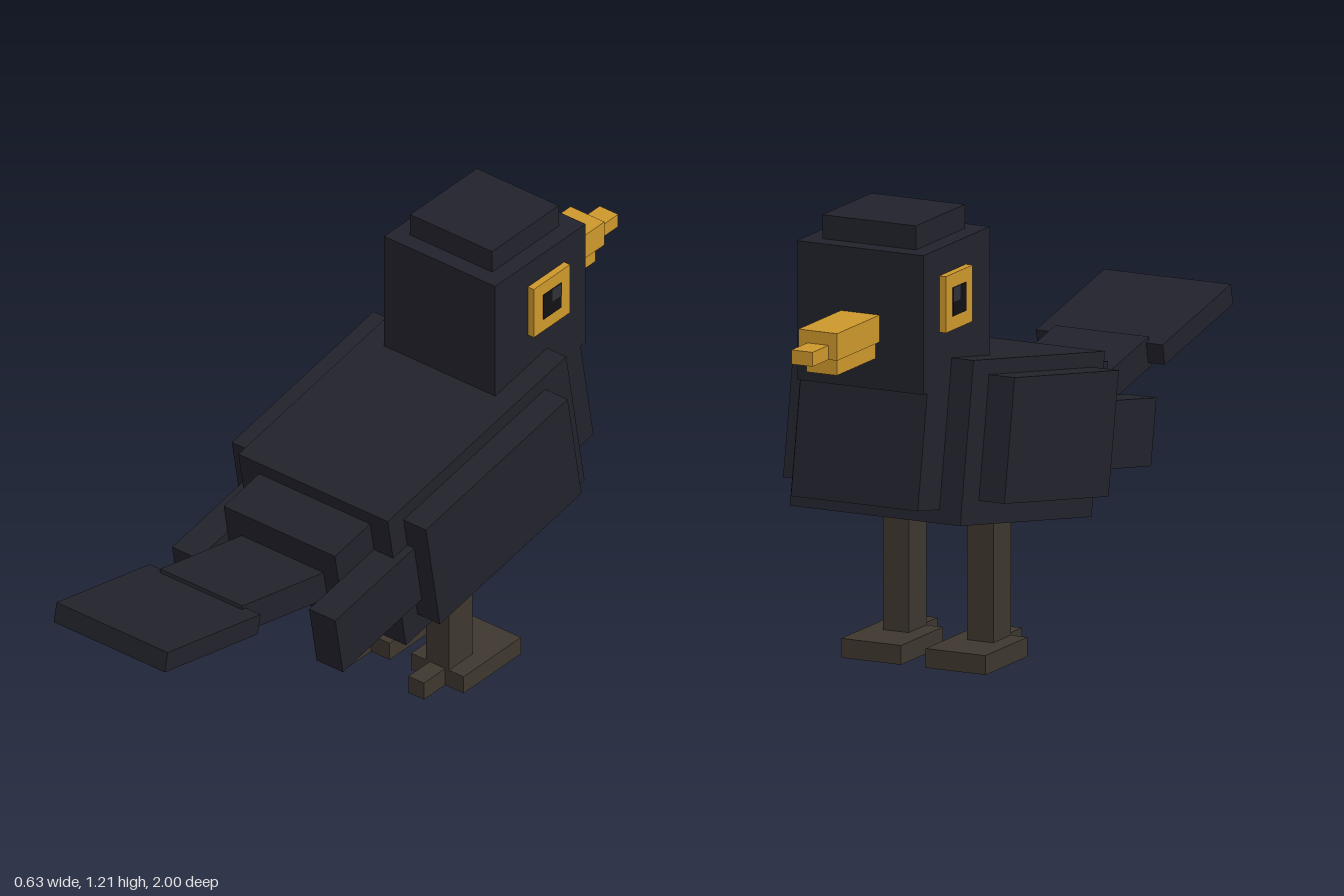
import * as THREE from 'three';

export function createModel() {
  const bird = new THREE.Group();
  bird.name = 'bird';

  const mat = (name, color) => {
    const m = new THREE.MeshStandardMaterial({ color });
    m.name = name;
    return m;
  };
  const plumage = mat('plumage', 0x22222c);
  const amber = mat('amber', 0xce982c);
  const legBrown = mat('legBrown', 0x3e372f);
  const pupilBlack = mat('pupilBlack', 0x111115);
  const glintGrey = mat('glintGrey', 0x30303a);

  // Box from size and centre, pitched about x in degrees
  const box = (name, material, size, centre, pitch = 0) => {
    const mesh = new THREE.Mesh(new THREE.BoxGeometry(...size), material);
    mesh.name = name;
    mesh.position.set(...centre);
    mesh.rotation.x = THREE.MathUtils.degToRad(pitch);
    bird.add(mesh);
    return mesh;
  };
  // Upright box from its lower and upper corners
  const span = (name, material, a, b) =>
    box(name, material, b.map((v, i) => v - a[i]), b.map((v, i) => (v + a[i]) / 2));

  const lean = 10;   // body rises towards the head (-z)
  const lift = -12;  // tail rises towards the back (+z)

  // Body
  box('body', plumage, [0.484, 0.42, 0.726], [0, 0.577, -0.209], lean);
  box('chest', plumage, [0.36, 0.32, 0.3], [0, 0.62, -0.54], lean);
  box('rump', plumage, [0.36, 0.22, 0.3], [0, 0.577, 0.153], lean);

  // Tail
  box('tailBase', plumage, [0.266, 0.08, 0.42], [0, 0.57, 0.435], lift);
  box('tailFan', plumage, [0.36, 0.055, 0.38], [0, 0.652, 0.809], lift);

  // Head
  span('head', plumage, [-0.18, 0.783, -0.684], [0.18, 1.143, -0.322]);
  span('crown', plumage, [-0.133, 1.143, -0.635], [0.133, 1.205, -0.368]);

  // Beak
  span('upperBeak', amber, [-0.055, 0.906, -0.914], [0.055, 0.976, -0.684]);
  span('beakTip', amber, [-0.03, 0.906, -1], [0.03, 0.943, -0.914]);
  span('lowerBeak', amber, [-0.043, 0.862, -0.893], [0.043, 0.906, -0.684]);

  // Paired parts
  for (const [side, s] of [['left', 1], ['right', -1]]) {
    const pair = (name, material, a, b) => span(side + name, material,
      [Math.min(s * a[0], s * b[0]), a[1], a[2]],
      [Math.max(s * a[0], s * b[0]), b[1], b[2]]);

    box(side + 'Wing', plumage, [0.075, 0.32, 0.576], [s * 0.277, 0.585, -0.19], lean);
    box(side + 'WingTip', plumage, [0.085, 0.174, 0.35], [s * 0.222, 0.498, 0.235], lean);

    pair('Eye', amber, [0.18, 0.927, -0.598], [0.199, 1.073, -0.453]);
    pair('Pupil', pupilBlack, [0.199, 0.963, -0.562], [0.201, 1.037, -0.49]);
    pair('EyeGlint', glintGrey, [0.201, 1.0, -0.562], [0.202, 1.037, -0.525]);

    pair('Leg', legBrown, [0.083, 0.05, -0.26], [0.157, 0.42, -0.165]);
    pair('Foot', legBrown, [0.035, 0, -0.394], [0.205, 0.05, -0.165]);
    pair('BackToe', legBrown, [0.095, 0, -0.165], [0.145, 0.05, -0.08]);
  }
  return bird;
}
